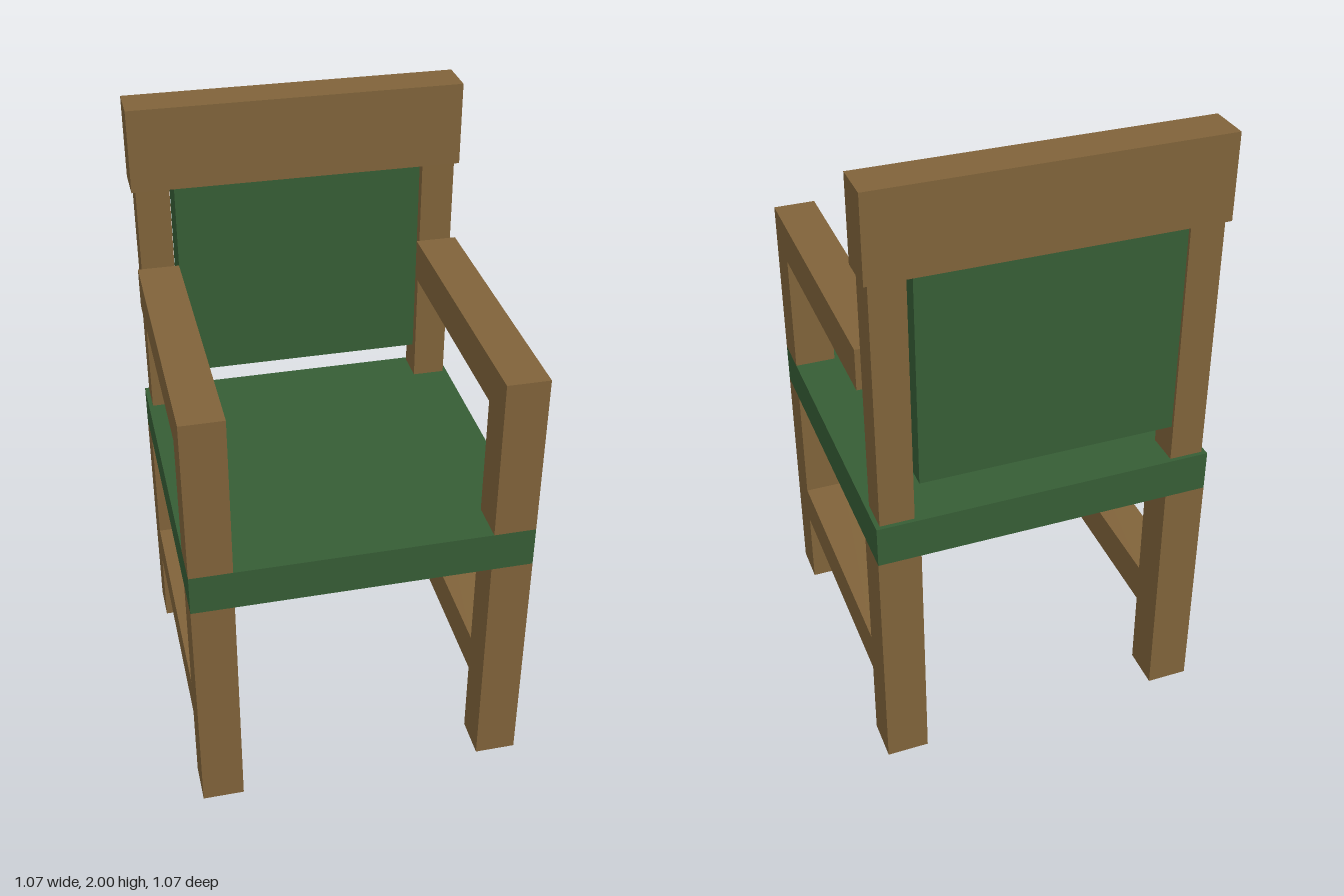
import * as THREE from 'three';

const U = 2 / 15; // thickness of the timber

export function createModel() {
  const chair = new THREE.Group();
  chair.name = 'armchair';

  const wood = new THREE.MeshStandardMaterial({ color: 0x80633a });
  wood.name = 'brown wood';
  const fabric = new THREE.MeshStandardMaterial({ color: 0x365d35 });
  fabric.name = 'green fabric';

  // Box given by its lower and upper corners
  function box(name, material, [x0, y0, z0], [x1, y1, z1]) {
    const mesh = new THREE.Mesh(new THREE.BoxGeometry(x1 - x0, y1 - y0, z1 - z0), material);
    mesh.position.set((x0 + x1) / 2, (y0 + y1) / 2, (z0 + z1) / 2);
    mesh.name = name;
    chair.add(mesh);
  }

  const outer = 4 * U, inner = 3 * U, inset = 0.1 * U;
  const seatBottom = 6 * U, seatTop = 7 * U;

  // Seat, backrest panel and top rail
  box('seat', fabric, [-outer, seatBottom, -outer], [outer, seatTop, outer]);
  box('backPanel', fabric, [-inner, 8 * U, -outer], [inner, 13 * U, -inner]);
  box('topRail', wood, [-outer, 13 * U, -outer], [outer, 15 * U, -inner]);

  // Parts mirrored on both sides
  for (const [label, side] of [['left', 1], ['right', -1]]) {
    const part = (name, a, b, y0, y1, z0, z1) =>
      box(label + name, wood, [Math.min(side * a, side * b), y0, z0], [Math.max(side * a, side * b), y1, z1]);

    part('FrontLeg', inner, outer, 0, seatBottom, inner, outer);
    part('BackLeg', inner, outer, 0, seatBottom, -outer, -inner);
    part('Stretcher', inner, outer, 2 * U, 3 * U, -inner, inner);
    part('ArmPost', inner, outer, seatTop, 11 * U, inner, outer);
    part('ArmRest', inner, outer, 10 * U, 11 * U, -inner, inner);
    // Slightly slimmer post behind the arm
    part('BackPost', inner + inset, outer - inset, seatTop, 13 * U, -outer + inset, -inner - inset);
  }

  return chair;
}
